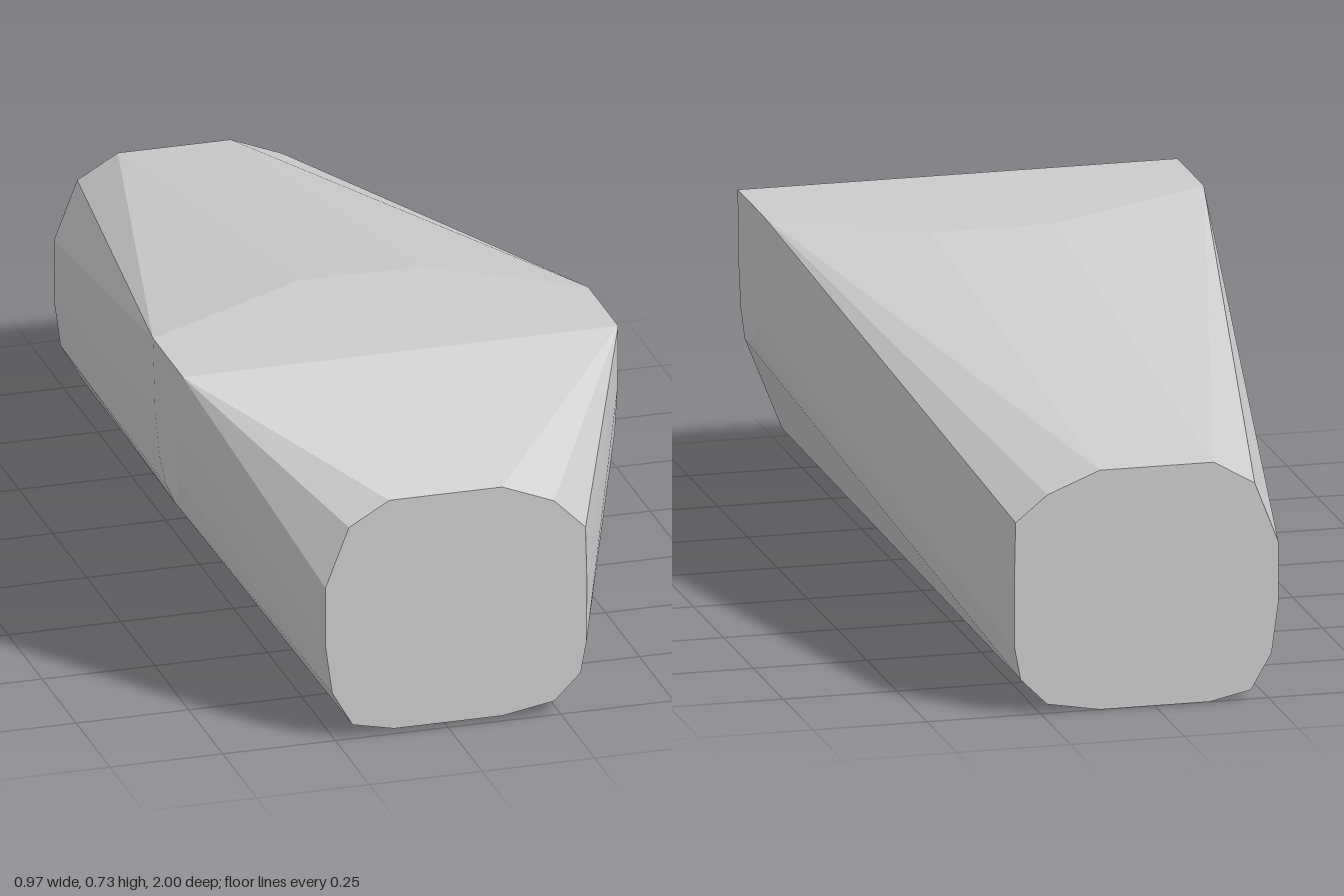
import * as THREE from 'three';
import { ConvexGeometry } from 'three/addons/geometries/ConvexGeometry.js';

export function createModel() {
  const group = new THREE.Group();
  const points = [];
  const add = (x, y, z) => points.push(new THREE.Vector3(x, y, z));

  // Rounded end outline, used at the front and slightly lower at the back
  const endOutline = [
    [-0.13, 0.54], [0.12, 0.54], [0.235, 0.494], [0.305, 0.425],
    [0.308, 0.3], [0.307, 0.16], [0.294, 0.09], [0.236, 0.032],
    [0.12, 0.012], [-0.12, 0.012], [-0.212, 0.032], [-0.257, 0.11],
    [-0.272, 0.22], [-0.272, 0.355], [-0.22, 0.488],
  ];
  for (const [x, y] of endOutline) {
    add(x, y, 1);
    add(x, y === 0.425 ? y : y - 0.012, -1);
  }

  // Flat rounded patch on each flank, as [z, y]
  const flank = [
    [0.65, 0.725], [0.645, 0.58], [0.625, 0.47], [0.59, 0.412],
    [0.53, 0.425], [0.48, 0.47], [0.445, 0.56], [0.43, 0.725],
  ];
  for (const side of [-1, 1]) {
    for (const [z, y] of flank) add(side * 0.483, y, z);
  }

  // Rear edge of the flat top
  add(-0.1, 0.725, 0.22);
  add(0.17, 0.725, 0.22);

  const body = new THREE.Mesh(
    new ConvexGeometry(points),
    new THREE.MeshStandardMaterial({ color: 0xcccccc, flatShading: true }),
  );
  body.name = 'facetedBody';
  group.add(body);
  return group;
}
